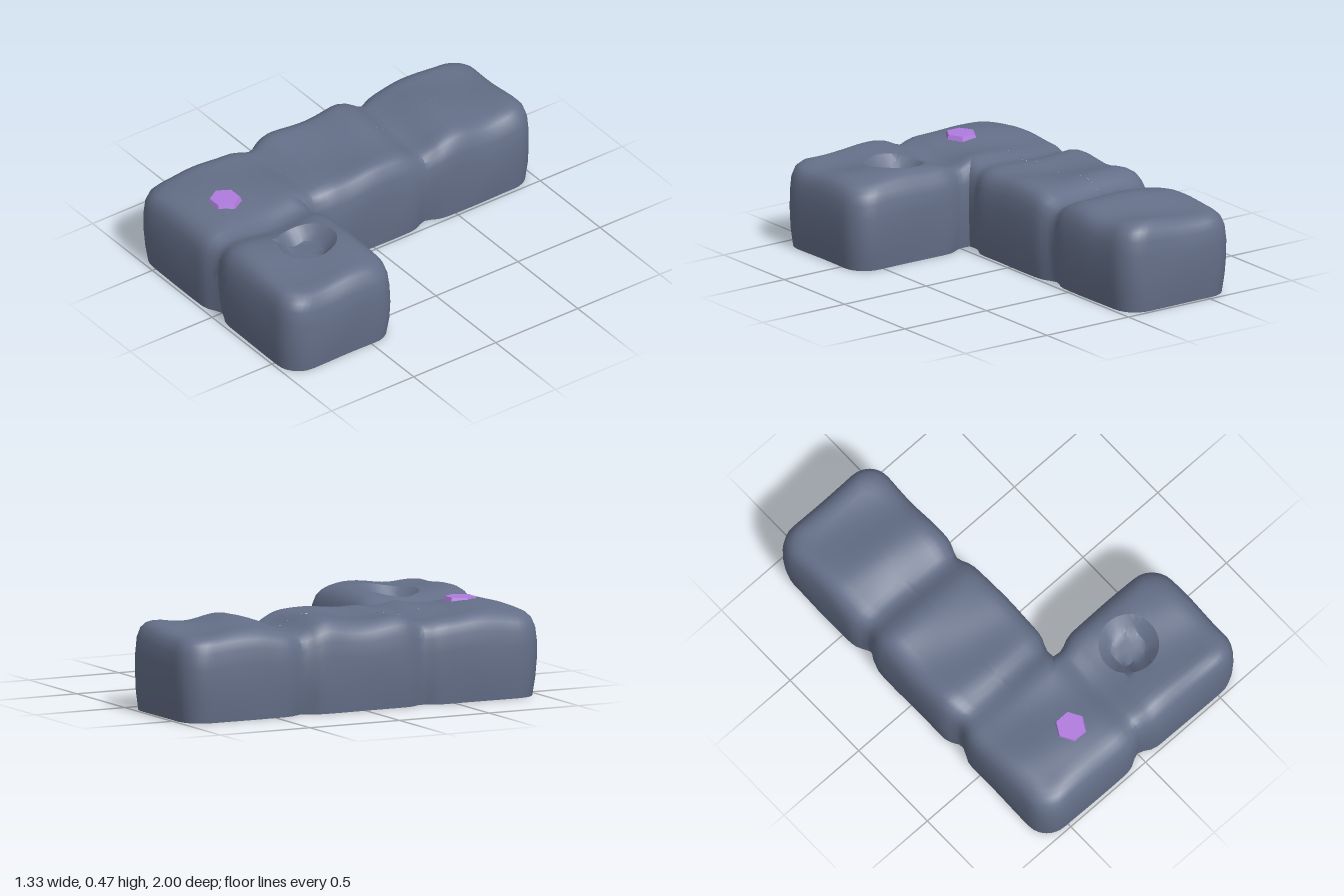
import * as THREE from 'three';
import { mergeVertices, toCreasedNormals } from 'three/addons/utils/BufferGeometryUtils.js';

const T = 1 / 3; // half the width of one block
const CRATER = { x: 0.25, z: 0.605, r: 0.15, depth: 0.07 };
const bump = (d, w) => Math.exp(-((d / w) ** 2));
const { clamp, smoothstep, lerp } = THREE.MathUtils;

// strength of the groove where two blocks meet
function seam(x, z, w) {
  const across = Math.max(bump(z + T, w), bump(z - T, w)) * (1 - smoothstep(x, -0.02, 0.06));
  const along = bump(x, w) * smoothstep(z, 0.25, T);
  return Math.max(across, along);
}

// rolling top of the stone
function topHeight(x, z) {
  return 0.438
    + 0.011 * Math.sin(14 * z - 4 * x + 2.2)
    + 0.008 * Math.sin(11 * x + 5 * z + 1.5)
    + 0.012 * bump(z + 0.55, 0.1) + 0.01 * bump(z + 0.2, 0.08)
    - 0.034 * seam(x, z, 0.075);
}

// nearest point on the L-shaped spine
function nearestSpine(p) {
  const a = new THREE.Vector2(-T, clamp(p.y, -2 * T, 2 * T));
  const b = new THREE.Vector2(clamp(p.x, -T, T), 2 * T);
  return a.distanceTo(p) < b.distanceTo(p) ? a : b;
}

// rounds the plan corners of the end and elbow blocks
function roundCorner(p, s) {
  const r = 0.13, k = T - r;
  const v = p.clone().sub(s);
  const q = new THREE.Vector2(clamp(v.x, -k, k), clamp(v.y, -k, k));
  const e = v.clone().sub(q);
  return e.x && e.y ? s.clone().add(q).add(e.setLength(r)) : p;
}

// outline points paired with their spine points (Vector2 y holds z)
function outlinePairs() {
  const corners = [[-2, -3], [-2, 3], [2, 3], [2, 1], [0, 1], [0, -3]]
    .map(([x, z]) => new THREE.Vector2(x * T, z * T));
  const pairs = [];
  corners.forEach((a, i) => {
    const b = corners[(i + 1) % corners.length];
    const n = Math.round(a.distanceTo(b) / 0.033);
    if (i === 4) { // inner corner fans out over the elbow block
      for (let k = 0; k <= 20; k++) {
        const s = new THREE.Vector2(-T * clamp(k / 10, 0, 1), 2 * T - T * clamp(k / 10 - 1, 0, 1));
        pairs.push([a, s]);
      }
    }
    for (let k = i === 4 ? 1 : 0; k < n; k++) {
      const p = a.clone().lerp(b, k / n);
      const s = nearestSpine(p);
      pairs.push([roundCorner(p, s), s]);
    }
  });
  return pairs;
}

function stoneGeometry() {
  const pairs = outlinePairs(), n = pairs.length;
  // [inset towards the spine, fraction of the height], from base centre up to the spine
  const rings = [[1, 0], [0.05, 0], [0.015, 0.2], [0, 0.42], [0.003, 0.62], [0.025, 0.79],
    [0.07, 0.895], [0.14, 0.955], [0.22, 0.985]];
  for (let k = 3; k <= 10; k++) rings.push([k / 10, 1]);

  const pos = [], index = [];
  rings.forEach(([inset, f], j) => {
    for (const [p, s] of pairs) {
      const rough = 0.006 * (1 + Math.sin(9 * p.x + 13 * p.y + 5 * f));
      const low = 0.04 * (1 - Math.min(1, f * 2));
      const t = inset + (1 - inset) * (rough + (0.1 + low) * seam(p.x, p.y, 0.055)) * (1 - inset);
      let x = lerp(p.x, s.x, t), z = lerp(p.y, s.y, t), drop = 0;
      if (f === 1) { // sink the crater and snap its rim to a circle
        const dx = x - CRATER.x, dz = z - CRATER.z;
        let r = Math.hypot(dx, dz);
        if (Math.abs(r - CRATER.r) < 0.022) {
          x = CRATER.x + dx * CRATER.r / r;
          z = CRATER.z + dz * CRATER.r / r;
          r = CRATER.r;
        }
        drop = CRATER.depth * clamp((CRATER.r - r) / 0.065, 0, 1);
      }
      pos.push(x, topHeight(x, z) * f - drop, z);
    }
    if (j === 0) return;
    for (let i = 0; i < n; i++) {
      const a = (j - 1) * n + i, b = (j - 1) * n + (i + 1) % n;
      index.push(a, b, b + n, a, b + n, a + n);
    }
  });
  const g = new THREE.BufferGeometry();
  g.setAttribute('position', new THREE.Float32BufferAttribute(pos, 3));
  g.setIndex(index);
  return toCreasedNormals(mergeVertices(g, 1e-4), 0.6);
}

export function createModel() {
  const stone = new THREE.MeshStandardMaterial({ name: 'slate stone', color: 0x646f88 });
  const violet = new THREE.MeshStandardMaterial({ name: 'violet crystal', color: 0xb07ade });
  violet.flatShading = true;

  const model = new THREE.Group();
  model.name = 'stonePiece';

  // L-shaped stone of four joined blocks, with a crater
  const body = new THREE.Mesh(stoneGeometry(), stone);
  body.name = 'stoneBody';
  model.add(body);

  // six-sided crystal set into the elbow block
  const gemGeometry = new THREE.CylinderGeometry(0.075, 0.105, 0.075, 6);
  gemGeometry.rotateY(Math.PI / 6);
  const gem = new THREE.Mesh(gemGeometry, violet);
  gem.name = 'crystal';
  gem.position.set(-0.257, 0.4275, 0.735);
  model.add(gem);

  return model;
}
